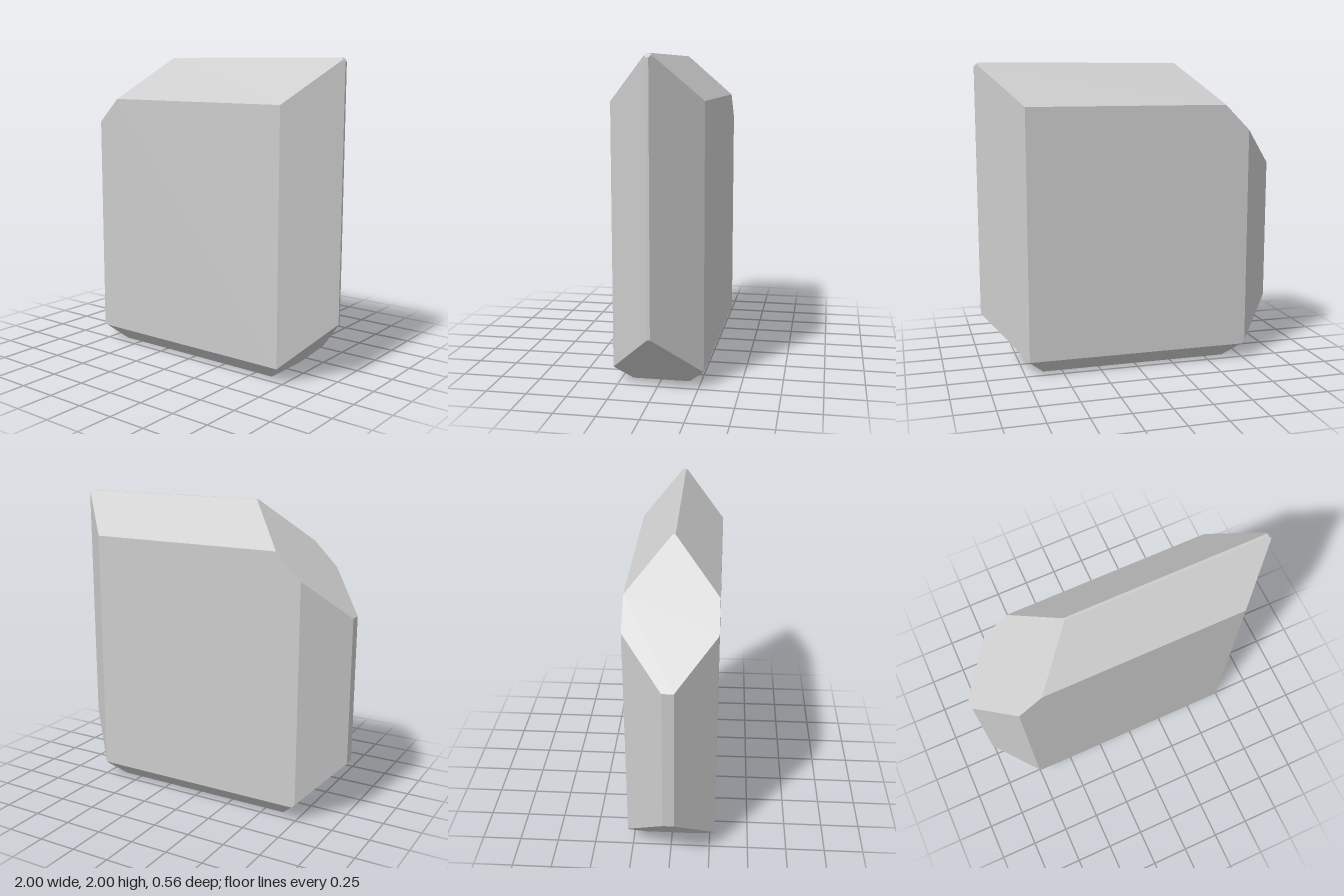
import * as THREE from 'three';

// Cutting planes of the block: each keeps the points where n . p <= d
const cuts = [
  // flat sides
  [1, 0, 0, 1], [-1, 0, 0, 1], [0, 1, 0, 2], [0, -1, 0, 0],
  // bevels of the silhouette, seen from the front
  [1, 1, 0, 2.975], [-1, 1, 0, 2.32], [1, -1, 0, 0.625], [-1, -1, 0, 0.63],
];
// front and back: flat face and its four bevels
for (const s of [1, -1]) {
  cuts.push(
    [0, 0, s, 0.281],
    [0, 1, s, s > 0 ? 2.006 : 2.012],
    [0, -1, s, 0.178],
    [1, 0, s, 1.008],
    [-1, 0, s, 1.036],
  );
}

const planes = cuts.map(([x, y, z, d]) => {
  const normal = new THREE.Vector3(x, y, z);
  const length = normal.length();
  return { normal: normal.divideScalar(length), d: d / length };
});

// Corner shared by three planes, or null when they do not meet in a point
function meet(a, b, c) {
  const bc = b.normal.clone().cross(c.normal);
  const det = a.normal.dot(bc);
  if (Math.abs(det) < 1e-6) return null;
  return bc.multiplyScalar(a.d)
    .addScaledVector(c.normal.clone().cross(a.normal), b.d)
    .addScaledVector(a.normal.clone().cross(b.normal), c.d)
    .divideScalar(det);
}

// Solid bounded by all planes, built face by face
function bevelledSolid() {
  const corners = [];
  for (let i = 0; i < planes.length; i++)
    for (let j = i + 1; j < planes.length; j++)
      for (let k = j + 1; k < planes.length; k++) {
        const p = meet(planes[i], planes[j], planes[k]);
        if (!p || planes.some((q) => q.normal.dot(p) > q.d + 1e-6)) continue;
        if (!corners.some((c) => c.distanceTo(p) < 1e-5)) corners.push(p);
      }

  const positions = [];
  for (const { normal, d } of planes) {
    const face = corners.filter((p) => Math.abs(normal.dot(p) - d) < 1e-5);
    if (face.length < 3) continue;
    // order the corners counter-clockwise around the normal
    const centre = face.reduce((sum, p) => sum.add(p), new THREE.Vector3()).divideScalar(face.length);
    const u = face[0].clone().sub(centre).normalize();
    const v = normal.clone().cross(u);
    const angle = (p) => {
      const r = p.clone().sub(centre);
      return Math.atan2(r.dot(v), r.dot(u));
    };
    face.sort((p, q) => angle(p) - angle(q));
    for (let i = 1; i < face.length - 1; i++)
      for (const p of [face[0], face[i], face[i + 1]]) positions.push(p.x, p.y, p.z);
  }

  const geometry = new THREE.BufferGeometry();
  geometry.setAttribute('position', new THREE.Float32BufferAttribute(positions, 3));
  geometry.computeVertexNormals();
  return geometry;
}

export function createModel() {
  const group = new THREE.Group();
  group.name = 'bevelledBlock';
  const block = new THREE.Mesh(
    bevelledSolid(),
    new THREE.MeshStandardMaterial({ color: 0xcccccc, flatShading: true }),
  );
  block.name = 'block';
  group.add(block);
  return group;
}
